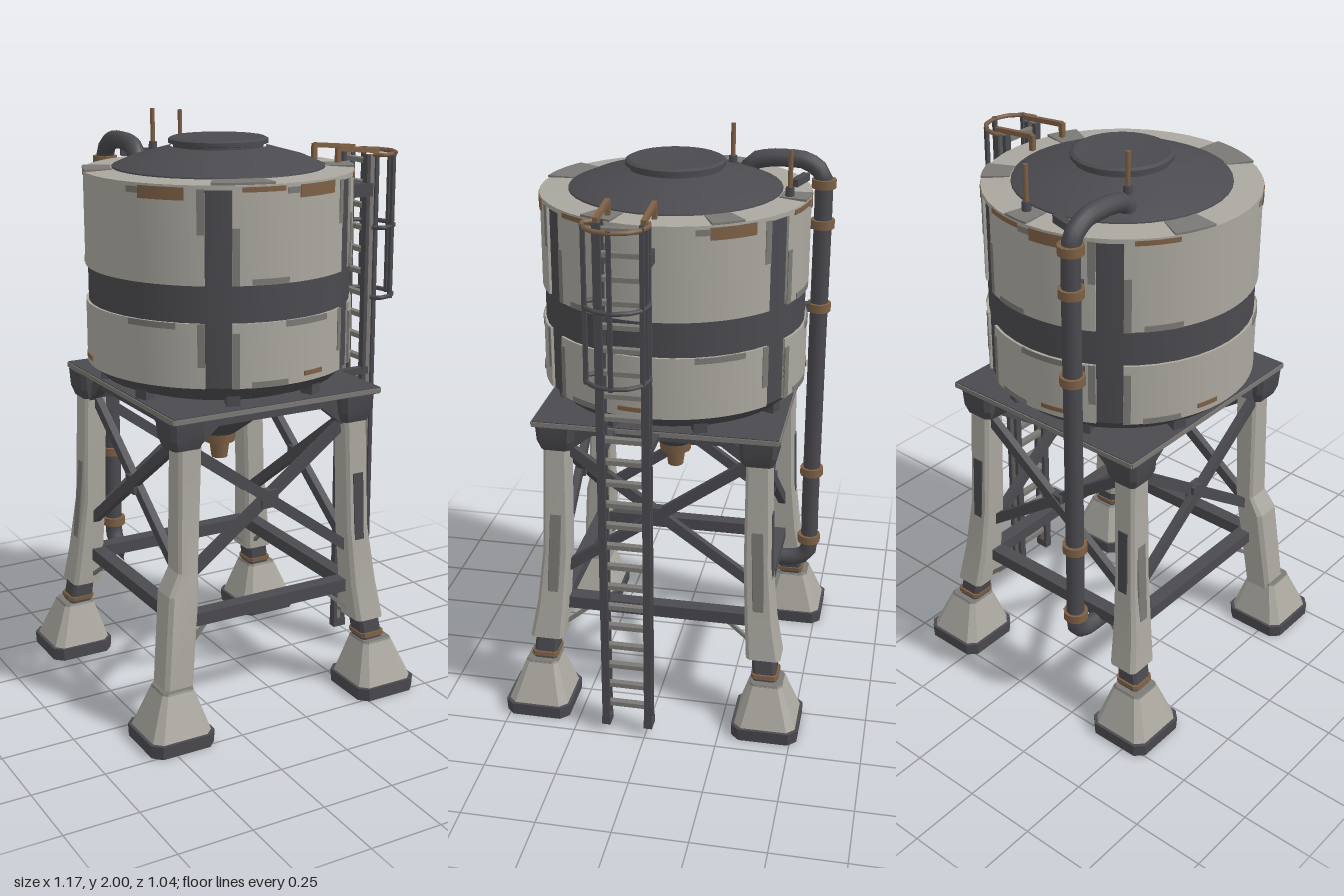
import * as THREE from 'three';
import { toCreasedNormals } from 'three/addons/utils/BufferGeometryUtils.js';

const mat = (name, color) => Object.assign(new THREE.MeshStandardMaterial({ color }), { name });

export function createModel() {
  const model = new THREE.Group();
  model.name = 'waterTower';
  const light = mat('palePaint', 0xaaa79f);
  const worn = mat('wornPaint', 0x7b7974);
  const dark = mat('darkSteel', 0x4a4a4f);
  const rust = mat('rust', 0x7d6045);
  const CX = -0.057, CZ = -0.004;
  const V = (x, y, z) => new THREE.Vector3(x, y, z);
  const rad = THREE.MathUtils.degToRad;

  const add = (name, geo, material, x = 0, y = 0, z = 0) => {
    const m = new THREE.Mesh(geo, material);
    m.name = name;
    m.position.set(x, y, z);
    model.add(m);
    return m;
  };
  const box = (name, material, w, h, d, x, y, z) => add(name, new THREE.BoxGeometry(w, h, d), material, x, y, z);

  // Straight square bar between two points
  const beam = (name, material, a, b, w, h = w) => {
    const m = add(name, new THREE.BoxGeometry(w, h, a.distanceTo(b)), material);
    m.position.copy(a).add(b).multiplyScalar(0.5);
    m.lookAt(b);
    return m;
  };

  // Upright cylinder from y0 to y1
  const cyl = (name, material, r0, r1, y0, y1, x, z, n = 12) =>
    add(name, new THREE.CylinderGeometry(r1, r0, y1 - y0, n), material, x, (y0 + y1) / 2, z);

  // Curved plate around the tank axis; angles in degrees from the front towards +x
  const arcPlate = (name, material, r0, r1, y0, y1, a0, a1) => {
    const s = new THREE.Shape();
    s.absarc(0, 0, r1, rad(a0 - 90), rad(a1 - 90), false);
    s.absarc(0, 0, r0, rad(a1 - 90), rad(a0 - 90), true);
    const steps = Math.max(2, Math.ceil((a1 - a0) / 9));
    const g = new THREE.ExtrudeGeometry(s, { depth: y1 - y0, bevelEnabled: false, curveSegments: steps });
    g.rotateX(-Math.PI / 2);
    return add(name, toCreasedNormals(g, 0.5), material, CX, y0, CZ);
  };

  const lathe = (name, material, pts, n = 40) => {
    const g = new THREE.LatheGeometry(pts.map(p => new THREE.Vector2(...p)), n);
    return add(name, toCreasedNormals(g, 0.35), material, CX, 0, CZ);
  };

  // Column with chamfered corners through rings [x, y, z, halfWidth, halfDepth], bottom to top
  const loft = (name, material, rings) => {
    const pos = [], idx = [];
    for (const [x, y, z, w, d] of rings) {
      const c = Math.min(w, d) * 0.25;
      for (const [px, pz] of [[w, d - c], [w, c - d], [w - c, -d], [c - w, -d], [-w, c - d], [-w, d - c], [c - w, d], [w - c, d]])
        pos.push(x + px, y, z + pz);
    }
    const top = (rings.length - 1) * 8;
    for (let k = 0; k < top; k += 8)
      for (let i = 0; i < 8; i++) {
        const j = (i + 1) % 8;
        idx.push(k + i, k + j, k + j + 8, k + i, k + j + 8, k + i + 8);
      }
    for (let i = 1; i < 7; i++) idx.push(top, top + i, top + i + 1, 0, i + 1, i);
    const g = new THREE.BufferGeometry();
    g.setAttribute('position', new THREE.Float32BufferAttribute(pos, 3));
    g.setIndex(idx);
    return add(name, toCreasedNormals(g, 0.3), material);
  };

  const tube = (name, material, pts, r, n = 24, sides = 12) =>
    add(name, new THREE.TubeGeometry(new THREE.CatmullRomCurve3(pts, false, 'catmullrom', 0.3), n, r, sides), material);

  // Tank core, underside funnel and outlet
  lathe('tankCore', dark, [[0.3, 1.07], [0.34, 1.11], [0.40, 1.125], [0.442, 1.17], [0.442, 1.805], [0, 1.805]]);
  lathe('funnel', dark, [[0, 0.89], [0.055, 0.89], [0.2, 1.0], [0.3, 1.07]]);
  cyl('outletCollar', rust, 0.055, 0.06, 0.86, 0.905, CX, CZ, 16);
  cyl('outletSpout', rust, 0.028, 0.036, 0.8, 0.86, CX, CZ, 12);

  // Pale shell panels between the dark uprights, above and below the dark belt
  const stripes = [-145, -29, 39, 148, 215];
  for (let i = 0; i < 4; i++) {
    const a = stripes[i] + 5.5, b = stripes[i + 1] - 5.5;
    for (const [y0, y1] of [[1.17, 1.38], [1.5, 1.8]]) {
      arcPlate('shellPanel', light, 0.435, 0.45, y0, y1, a, b);
      // worn panel edges
      arcPlate('wornEdge', worn, 0.446, 0.4525, y0, y0 + 0.18, a, a + 3);
      arcPlate('wornEdge', worn, 0.446, 0.4525, y1 - 0.14, y1, b - 3, b);
      arcPlate('wornEdge', worn, 0.446, 0.4525, y0, y0 + 0.02, a + 8, a + 24);
      arcPlate('wornEdge', worn, 0.446, 0.4525, y1 - 0.02, y1, b - 34, b - 12);
    }
    arcPlate('rustPatch', rust, 0.447, 0.454, 1.765, 1.805, b - 28, b - 8);
    arcPlate('rustPatch', rust, 0.447, 0.454, 1.19, 1.205, a + 32, a + 42);
    arcPlate('rustEdge', rust, 0.447, 0.4535, 1.79, 1.806, a + 4, a + 22);
  }

  // Roof rim, dome and hatch
  lathe('roofRim', light, [[0.442, 1.797], [0.452, 1.797], [0.452, 1.812], [0.35, 1.818]]);
  for (const [a, w] of [[-32, 26], [60, 14], [115, 14], [168, 12], [-120, 18]])
    arcPlate('rimPatch', worn, 0.36, 0.453, 1.813, 1.82, a, a + w);
  lathe('roofDome', dark, [[0.358, 1.81], [0.355, 1.822], [0.29, 1.85], [0.16, 1.885]]);
  lathe('hatch', dark, [[0.15, 1.87], [0.15, 1.892], [0.167, 1.895], [0.167, 1.908], [0.155, 1.914], [0.1, 1.908], [0, 1.912]], 28);

  // Roof rods
  for (const [x, z, y0, y1] of [[-0.217, -0.17, 1.85, 2], [0, -0.39, 1.81, 1.97]]) {
    cyl('roofRod', rust, 0.008, 0.008, y0, y1, x, z, 8);
    cyl('roofRodFoot', dark, 0.016, 0.014, y0, y0 + 0.04, x, z, 8);
  }

  // Square deck with a round opening
  const deck = new THREE.Shape([[-0.388, -0.414], [0.388, -0.414], [0.388, 0.414], [-0.388, 0.414]].map(p => new THREE.Vector2(...p)));
  deck.holes.push(new THREE.Path().absarc(0, 0, 0.32, 0, Math.PI * 2, true));
  const deckGeo = new THREE.ExtrudeGeometry(deck, { depth: 0.022, bevelEnabled: false, curveSegments: 32 });
  deckGeo.rotateX(-Math.PI / 2);
  add('deck', deckGeo, dark, CX, 1.078, CZ);
  for (const s of [-1, 1]) {
    box('deckEdge', worn, 0.776, 0.016, 0.006, CX, 1.089, CZ + s * 0.415);
    box('deckEdge', worn, 0.006, 0.016, 0.828, CX + s * 0.389, 1.089, CZ);
  }
  for (let i = 0; i < 8; i++) {
    const a = rad(22.5 + i * 45);
    box('tankPost', dark, 0.045, 0.1, 0.045, CX + 0.385 * Math.sin(a), 1.14, CZ + 0.385 * Math.cos(a)).rotation.y = a;
  }

  // Legs, feet and corner brackets
  const LX = -0.065;
  for (const sx of [-1, 1]) for (const sz of [-1, 1]) {
    const bent = sx < 0 && sz > 0;
    const at = (dx, y, dz, w, d = w) => [LX + sx * dx, y, CZ + sz * dz, w, d];
    if (bent) {
      loft('bentLeg', light, [at(0.385, 0.15, 0.39, 0.052), at(0.345, 0.5, 0.36, 0.054),
        at(0.322, 0.57, 0.35, 0.036, 0.046), at(0.305, 1.03, 0.345, 0.042)]);
    } else {
      loft('leg', light, [at(0.365, 0.27, 0.385, 0.054, 0.06), at(0.352, 0.4, 0.368, 0.05, 0.052),
        at(0.335, 0.6, 0.352, 0.042, 0.047), at(0.322, 1.03, 0.345, 0.042)]);
      loft('ankle', dark, [at(0.385, 0.17, 0.395, 0.042), at(0.37, 0.28, 0.385, 0.04)]);
      loft('ankleBand', rust, [at(0.382, 0.2, 0.393, 0.047), at(0.38, 0.215, 0.392, 0.047)]);
      // worn strips on the outer faces
      loft('wornStrip', dark, [at(0.336, 0.56, 0.4, 0.018, 0.004), at(0.329, 0.8, 0.393, 0.02, 0.004)]);
      loft('wornStrip', worn, [at(0.384, 0.45, 0.362, 0.013, 0.02), at(0.368, 0.75, 0.349, 0.004, 0.02)]);
    }
    loft('footBase', dark, [at(0.4, 0, 0.405, 0.114), at(0.4, 0.045, 0.405, 0.116)]);
    loft('foot', light, [at(0.4, 0.04, 0.405, 0.108), at(0.392, 0.185, 0.4, 0.057)]);
    loft('footCap', worn, [at(0.392, 0.183, 0.4, 0.058), at(0.392, 0.19, 0.4, 0.054)]);
    loft('cornerBracket', dark, [at(0.32, 0.985, 0.345, 0.05), at(0.32, 1.02, 0.345, 0.062), at(0.32, 1.08, 0.345, 0.066)]);
    // gussets under the deck and small stays above the feet
    const p = (dx, y, dz) => V(LX + sx * dx, y, CZ + sz * dz);
    beam('gusset', dark, p(0.29, 0.99, 0.35), p(0.18, 1.08, 0.35), 0.04);
    beam('gusset', dark, p(0.33, 0.99, 0.32), p(0.33, 1.08, 0.2), 0.04);
    beam('stay', worn, p(0.34, 0.27, 0.37), p(0.23, 0.37, 0.35), 0.012);
    beam('stay', worn, p(0.35, 0.27, 0.37), p(0.33, 0.37, 0.24), 0.012);
  }

  // Cross bracing and lower girders on all four sides
  for (const s of [-1, 1]) {
    const z = CZ + s * 0.348, x = LX + s * 0.325;
    beam('lowerGirder', dark, V(LX - 0.34, 0.385, z), V(LX + 0.34, 0.385, z), 0.05, 0.045);
    beam('lowerGirder', dark, V(x, 0.385, CZ - 0.36), V(x, 0.385, CZ + 0.36), 0.05, 0.045);
    box('deckGirder', dark, 0.66, 0.04, 0.04, LX, 1.06, z);
    box('deckGirder', dark, 0.04, 0.04, 0.7, x, 1.06, CZ);
    for (const t of [-1, 1]) {
      const off = t * 0.008;
      beam('crossBrace', dark, V(LX - t * 0.32, 0.99, z + off), V(LX + t * 0.32, 0.52, z + off), 0.026, 0.036);
      beam('crossBrace', dark, V(x + off, 0.99, CZ - t * 0.33), V(x + off, 0.52, CZ + t * 0.33), 0.026, 0.036);
    }
    box('braceJoint', dark, 0.06, 0.06, 0.035, LX, 0.755, z);
    box('braceJoint', dark, 0.035, 0.06, 0.06, x, 0.755, CZ);
  }

  // Supply pipe up the back and over the roof
  const PX = -0.255, PZ = -0.477;
  tube('supplyPipe', dark, [V(PX, 0.345, -0.33), V(PX, 0.35, -0.43), V(PX, 0.39, PZ), V(PX, 0.6, PZ), V(PX, 1.2, PZ),
    V(PX, 1.78, PZ), V(PX, 1.85, -0.455), V(PX, 1.878, -0.4), V(PX, 1.88, -0.3), V(PX, 1.865, -0.235), V(PX, 1.82, -0.21)], 0.031, 60);
  for (const y of [0.44, 0.72, 1.36, 1.66, 1.8]) cyl('pipeCollar', rust, 0.042, 0.042, y - 0.015, y + 0.015, PX, PZ, 12);
  for (const y of [1.36, 1.66]) beam('pipeClamp', dark, V(PX, y, PZ), V(PX + 0.03, y, -0.39), 0.03);
  beam('pipeSupport', dark, V(-0.22, 1.83, -0.42), V(-0.12, 1.83, -0.39), 0.025);

  // Ladder
  const RX = 0.462, rails = [-0.011, 0.137];
  for (const z of rails) {
    for (const dx of [-0.018, 0.018]) box('ladderRail', dark, 0.014, 1.8, 0.026, RX + dx, 0.94, z);
    box('ladderRailWeb', worn, 0.03, 1.8, 0.01, RX, 0.94, z);
    box('railFoot', dark, 0.05, 0.03, 0.03, RX, 0.045, z);
    // hand rail onto the roof and wall brackets
    beam('handRail', rust, V(0.325, 1.865, z), V(0.49, 1.85, z), 0.016);
    beam('handRailPost', rust, V(0.325, 1.81, z), V(0.325, 1.87, z), 0.016);
    beam('wallBracket', dark, V(0.37, 1.72, z), V(RX, 1.72, z), 0.03, 0.045);
    beam('wallBracket', dark, V(0.32, 1.08, z), V(RX, 1.08, z), 0.025);
  }
  for (let y = 0.11; y < 1.82; y += 0.0775) box('rung', worn, 0.024, 0.016, 0.15, RX, y, 0.063);

  // Safety cage
  const hoop = y => [-90, -60, -30, 0, 30, 60, 90].map(a => V(0.485 + 0.098 * Math.cos(rad(a)), y, 0.075 + 0.104 * Math.sin(rad(a))));
  for (const y of [1.84, 1.59, 1.345]) {
    const h = hoop(y);
    tube('cageHoop', y > 1.8 ? rust : dark, [V(RX, y, -0.02), ...h, V(RX, y, 0.15)], 0.008, 28, 6);
  }
  for (const i of [1, 3, 5]) {
    const p = hoop(0)[i];
    box('cageBar', dark, 0.012, 0.51, 0.014, p.x, 1.592, p.z);
  }
  return model;
}
